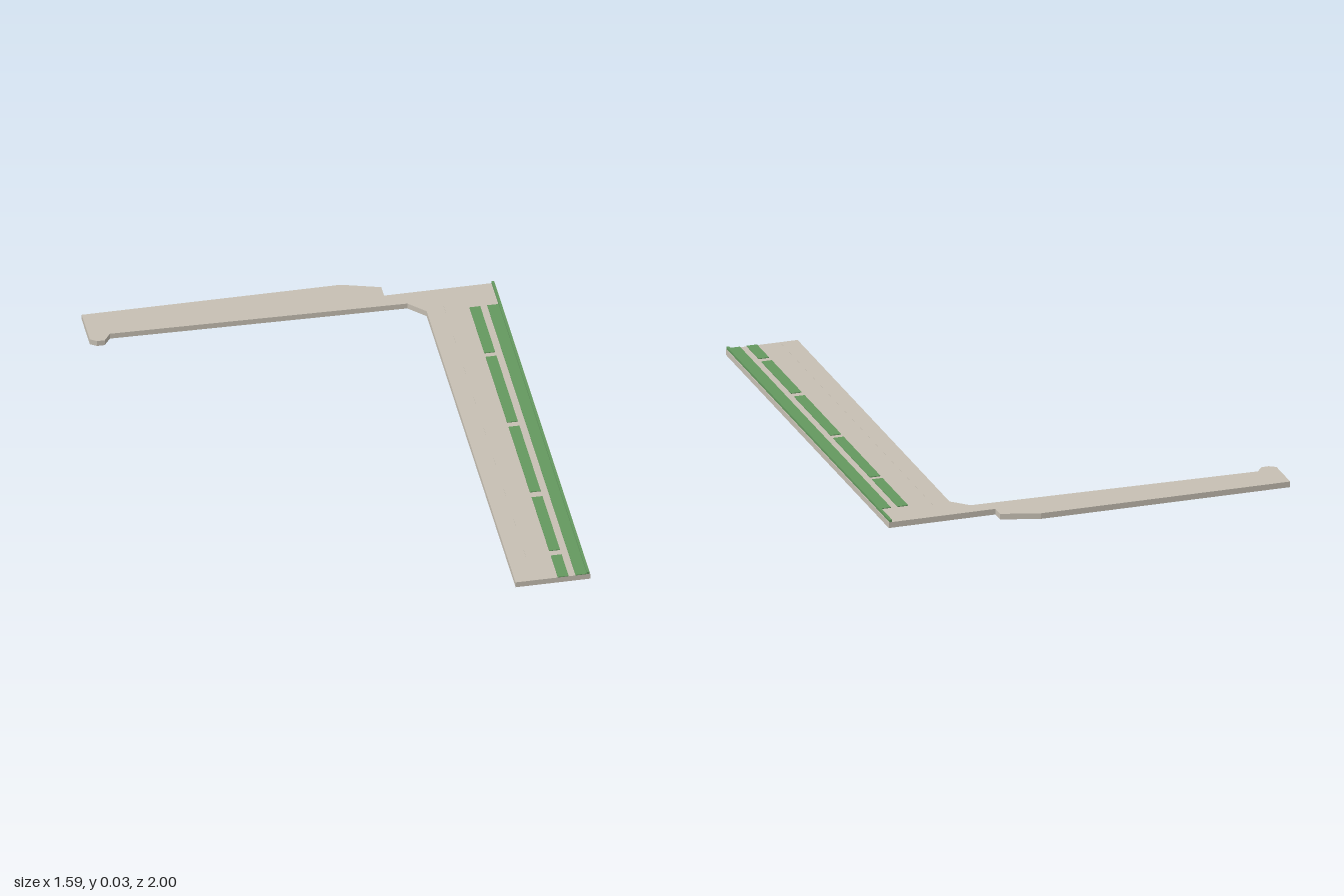
import * as THREE from 'three';

export function createModel() {
  const group = new THREE.Group();
  const stone = new THREE.MeshStandardMaterial({ color: 0xc6bfb3 });
  stone.name = 'pale stone';
  const green = new THREE.MeshStandardMaterial({ color: 0x64985f });
  green.name = 'planting green';
  const top = 0.023;

  // L-shaped slab, outlined in plan as x, z
  const outline = [
    [-0.795, -1], [0.21, -1], [0.36, -0.955], [0.36, -0.9], [0.79, -0.9],
    [0.79, 1], [0.5, 1], [0.5, -0.77], [0.437, -0.833], [-0.713, -0.86],
    [-0.74, -0.823], [-0.77, -0.823], [-0.795, -0.84],
  ];
  const shape = new THREE.Shape(outline.map(([x, z]) => new THREE.Vector2(x, -z)));
  const slabGeometry = new THREE.ExtrudeGeometry(shape, { depth: top, bevelEnabled: false });
  slabGeometry.rotateX(-Math.PI / 2);
  const slab = new THREE.Mesh(slabGeometry, stone);
  slab.name = 'slab';
  group.add(slab);

  // Box resting on the slab between two x and two z limits
  function strip(name, x0, x1, z0, z1, height, material) {
    const mesh = new THREE.Mesh(new THREE.BoxGeometry(x1 - x0, height, z1 - z0), material);
    mesh.position.set((x0 + x1) / 2, top + height / 2, (z0 + z1) / 2);
    mesh.name = name;
    group.add(mesh);
  }

  // Hedge along the outer edge and the verge beside it
  strip('hedge', 0.777, 0.787, -0.9, 1, 0.01, green);
  strip('verge', 0.733, 0.777, -0.76, 1, 0.003, green);

  // Row of planted beds
  const beds = [[-0.76, -0.463], [-0.437, -0.01], [0.02, 0.445], [0.48, 0.828], [0.86, 1]];
  beds.forEach(([z0, z1], i) => strip(`bed${i + 1}`, 0.664, 0.706, z0, z1, 0.003, green));

  // Fine seam along the inner side
  strip('seam', 0.57, 0.572, -0.83, 1, 0.0006, stone);

  return group;
}
